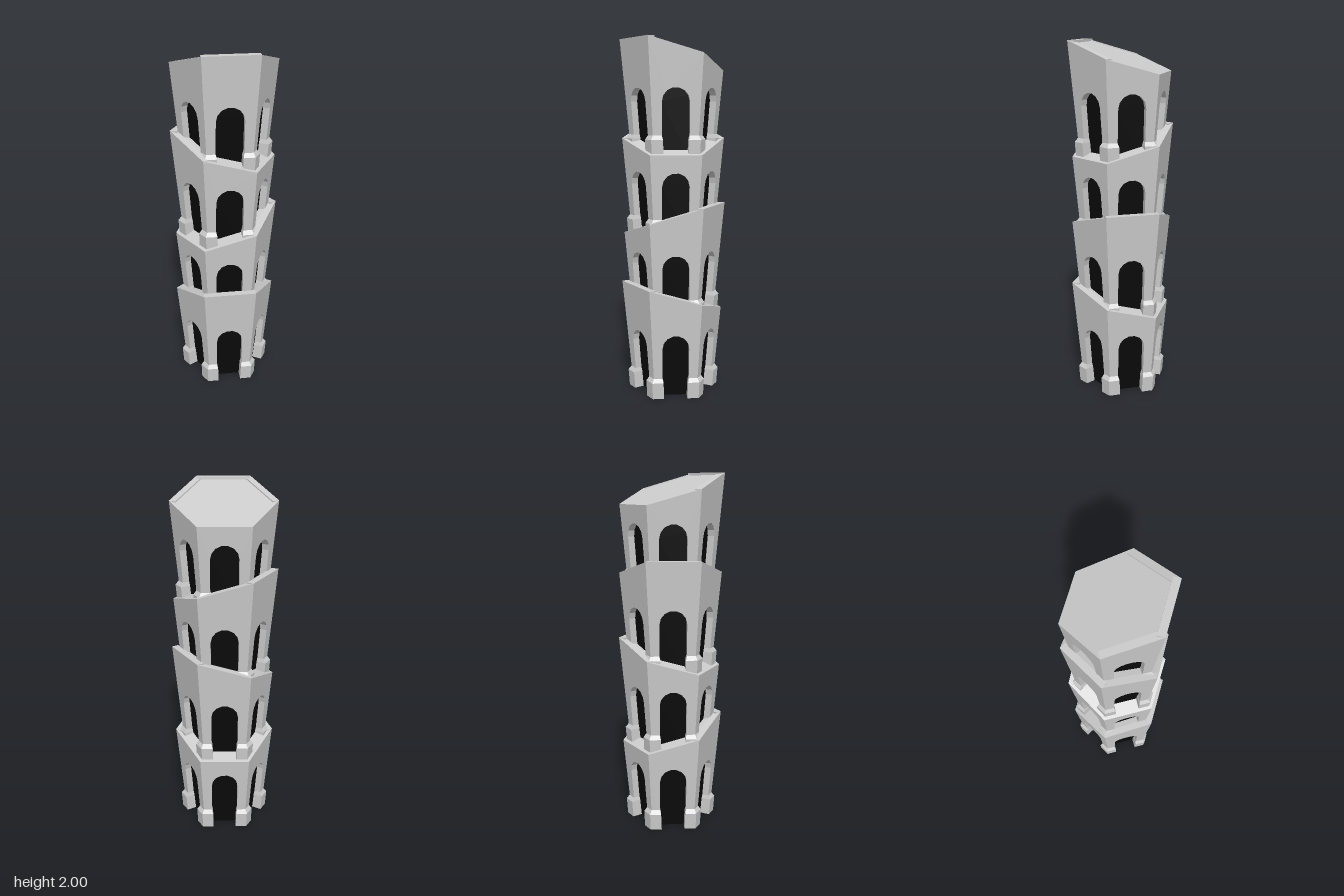
import * as THREE from 'three';

const TIERS = 4, STEP = 0.455;        // tiers and the rise between their bases
const DEPTH = 0.04;                   // wall thickness
const ARCH_W = 0.075, SPRING = 0.297; // arch half width and springing height
const DEG = Math.PI / 180;

const stone = new THREE.MeshStandardMaterial({ color: 0xcccccc, flatShading: true });
const stoneThin = new THREE.MeshStandardMaterial({ color: 0xcccccc, flatShading: true, side: THREE.DoubleSide });
const dark = new THREE.MeshStandardMaterial({ color: 0x0a0a0a, side: THREE.DoubleSide });

// Corner radius of the flaring hexagon at height y, and distance to its faces
const radius = (y) => 0.237 + 0.093 * y;
const apothem = (y) => radius(y) * Math.cos(30 * DEG);

// Height where a corner edge meets the sloping top, a = angle from the high side
function topHeight(a) {
  const k = 0.333 * Math.cos(a);
  return (0.55 + k * 0.237) / (1 - k * 0.093);
}

function archPoints() {
  const pts = [[-ARCH_W, 0]];
  for (let i = 0; i <= 7; i++) {
    const a = Math.PI * (1 - i / 7);
    pts.push([ARCH_W * Math.cos(a), SPRING + ARCH_W * Math.sin(a)]);
  }
  pts.push([ARCH_W, 0]);
  return pts;
}

const toShape = (pts) => new THREE.Shape(pts.map(([x, y]) => new THREE.Vector2(x, y)));

// Lean a flat panel so that it follows the flare of the tower
function lean(geo, inset) {
  const p = geo.attributes.position;
  for (let i = 0; i < p.count; i++) p.setZ(i, p.getZ(i) + apothem(p.getY(i)) - inset);
  geo.computeVertexNormals();
  return geo;
}

// Wall face with an arched opening and a slanted top edge
function wallGeometry(yLeft, yRight) {
  const outline = [
    [-radius(0) / 2, 0], ...archPoints(), [radius(0) / 2, 0],
    [radius(yRight) / 2, yRight], [-radius(yLeft) / 2, yLeft],
  ];
  return lean(new THREE.ExtrudeGeometry(toShape(outline), { depth: DEPTH, bevelEnabled: false }), DEPTH);
}

// Angled plinth wrapping a corner pier, lofted from three sections, corner at +z
function plinthGeometry() {
  const sections = [
    { y: 0, out: 0.022, s: 0.0635, w: 0.06 },
    { y: 0.095, out: 0.02, s: 0.0635, w: 0.06 },
    { y: 0.117, out: 0, s: 0.049, w: 0.042 },
  ];
  const c = Math.cos(30 * DEG);
  const rings = sections.map(({ y, out, s, w }) => {
    const r = radius(y) + out;
    const x1 = s * c, z1 = r - s * 0.5, x2 = x1 - w * 0.5, z2 = z1 - w * c;
    return [[0, y, r], [x1, y, z1], [x2, y, z2], [0, y, r - w / c], [-x2, y, z2], [-x1, y, z1]];
  });
  const v = [];
  const tri = (...corners) => corners.forEach((q) => v.push(...q));
  for (let k = 0; k < 2; k++) {
    for (let i = 0; i < 6; i++) {
      const j = (i + 1) % 6, a = rings[k], b = rings[k + 1];
      tri(a[i], a[j], b[j]);
      tri(a[i], b[j], b[i]);
    }
  }
  for (let i = 1; i < 5; i++) {
    tri(rings[2][0], rings[2][i], rings[2][i + 1]);
    tri(rings[0][0], rings[0][i + 1], rings[0][i]);
  }
  const geo = new THREE.BufferGeometry();
  geo.setAttribute('position', new THREE.Float32BufferAttribute(v, 3));
  geo.computeVertexNormals();
  return geo;
}

// Sloping hexagonal cap that closes a tier
function capGeometry(high) {
  const v = [], index = [];
  for (let i = 0; i < 6; i++) {
    const a = i * 60 * DEG, y = topHeight(a - high);
    v.push(radius(y) * Math.sin(a), y, radius(y) * Math.cos(a));
    if (i > 1) index.push(0, i - 1, i);
  }
  const geo = new THREE.BufferGeometry();
  geo.setAttribute('position', new THREE.Float32BufferAttribute(v, 3));
  geo.setIndex(index);
  geo.computeVertexNormals();
  return geo;
}

export function createModel() {
  const tower = new THREE.Group();
  tower.name = 'tower';
  const plinth = plinthGeometry();
  const backing = lean(new THREE.ShapeGeometry(toShape(archPoints())), DEPTH - 0.001);

  for (let t = 0; t < TIERS; t++) {
    const tier = new THREE.Group();
    tier.name = `tier${t + 1}`;
    tier.position.y = t * STEP;
    const high = (30 + 120 * t) * DEG; // the slope turns a third of a circle per tier

    const add = (name, geo, mat, turn = 0) => {
      const mesh = new THREE.Mesh(geo, mat);
      mesh.name = name;
      mesh.rotation.y = turn;
      tier.add(mesh);
    };

    for (let i = 0; i < 6; i++) {
      const corner = i * 60 * DEG, face = corner + 30 * DEG;
      const yLeft = topHeight(corner - high), yRight = topHeight(corner + 60 * DEG - high);
      add(`wall${i + 1}`, wallGeometry(yLeft, yRight), stone, face);
      add(`archOpening${i + 1}`, backing, dark, face);
      add(`plinth${i + 1}`, plinth, stone, corner);
    }
    add('slopingCap', capGeometry(high), stoneThin);
    tower.add(tier);
  }
  return tower;
}
